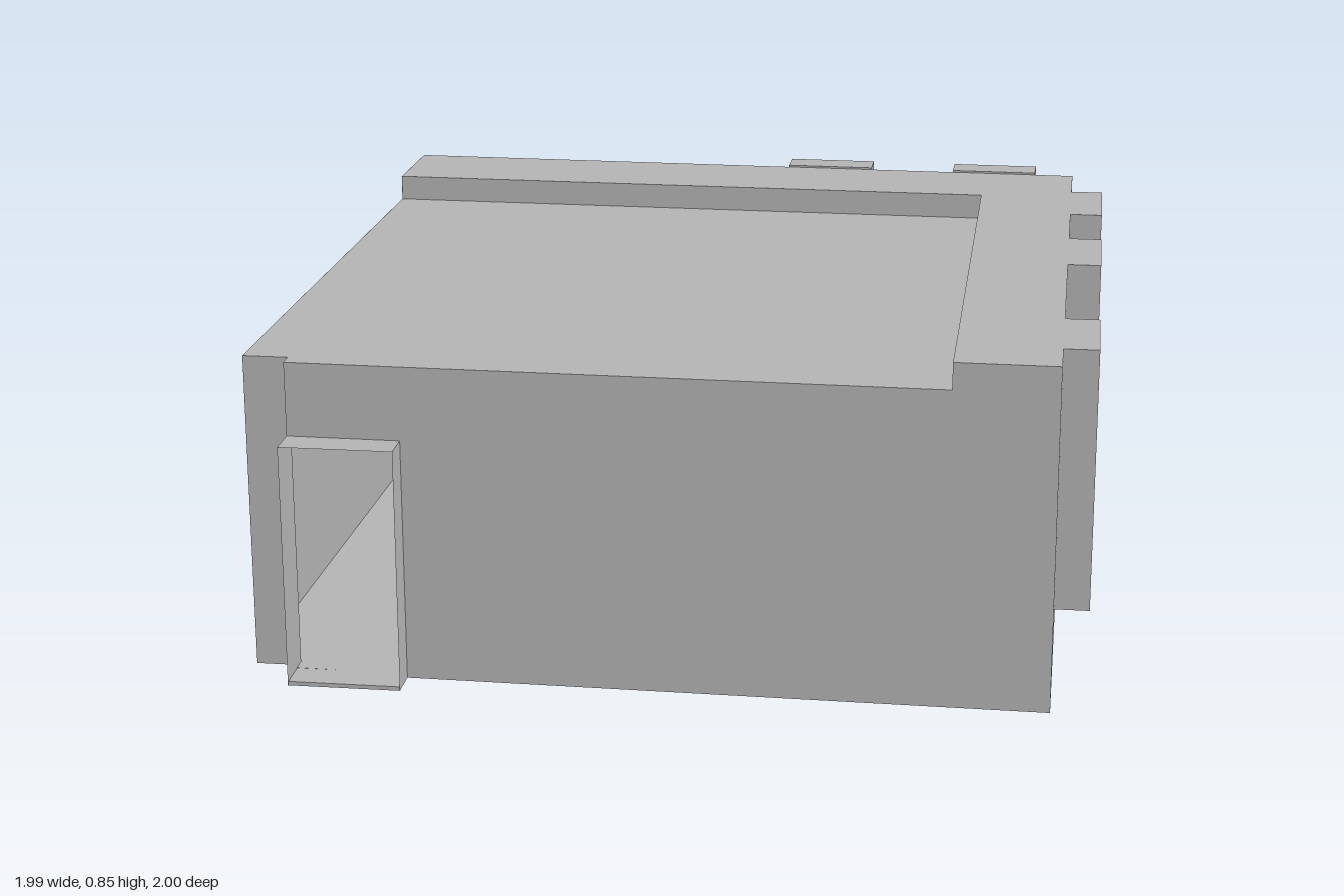
import * as THREE from 'three';

const concrete = new THREE.MeshStandardMaterial({ color: 0xb4b4b4, side: THREE.DoubleSide });
concrete.name = 'plain grey';

const LOW = 0.775, HIGH = 0.84, BASE = 0.01;
const polygon = (pts) => new THREE.Shape(pts.map(([x, y]) => new THREE.Vector2(x, y)));
const rect = (x0, y0, x1, y1) => [[x0, y0], [x1, y0], [x1, y1], [x0, y1]];

function add(parent, name, geometry) {
  const mesh = new THREE.Mesh(geometry, concrete);
  mesh.name = name;
  parent.add(mesh);
  return mesh;
}

// Group standing on the line a-b (x, z): local x runs along it, local z points outward
function wallFrame(parent, name, a, b) {
  const g = new THREE.Group();
  g.name = name;
  g.position.set(a[0], 0, a[1]);
  g.rotation.y = Math.atan2(a[1] - b[1], b[0] - a[0]);
  g.userData.length = Math.hypot(b[0] - a[0], b[1] - a[1]);
  parent.add(g);
  return g;
}

// Flat panel with rectangular openings
function panel(parent, name, outline, holes = []) {
  const shape = polygon(outline);
  holes.forEach((h) => shape.holes.push(polygon(h)));
  return add(parent, name, new THREE.ShapeGeometry(shape));
}

// Horizontal sheet from (x, z) corners
function sheet(parent, name, pts, y) {
  const geo = new THREE.ShapeGeometry(polygon(pts.map(([x, z]) => [x, -z])));
  geo.rotateX(-Math.PI / 2);
  add(parent, name, geo).position.y = y;
}

// Rectangular ring with a border of the given width
function ring(parent, name, [x0, y0, x1, y1], border, z, depth) {
  const shape = polygon(rect(x0, y0, x1, y1));
  shape.holes.push(polygon(rect(x0 + border, y0 + border, x1 - border, y1 - border)));
  const geo = new THREE.ExtrudeGeometry(shape, { depth, bevelEnabled: false });
  add(parent, name, geo).position.z = z;
}

const inset = ([x0, y0, x1, y1], d) => [x0 + d, y0 + d, x1 - d, y1 - d];

// Projecting box window: deep outer surround and a recessed inner frame
function boxWindow(parent, r, depth) {
  const g = new THREE.Group();
  g.name = 'boxWindow';
  parent.add(g);
  ring(g, 'windowSurround', r, 0.015, 0, depth);
  ring(g, 'windowInnerFrame', inset(r, 0.015), 0.02, depth - 0.04, 0.022);
}

function windowWall(parent, name, a, b, windows, depth) {
  const g = wallFrame(parent, name, a, b);
  panel(g, name + 'Panel', rect(0, 0, g.userData.length, HIGH), windows.map((r) => rect(...inset(r, 0.015))));
  windows.forEach((r) => boxWindow(g, r, depth));
}

export function createModel() {
  const model = new THREE.Group();
  model.name = 'room';

  // Plan corners (x, z)
  const frontLeft = [0.905, 0.94], backLeft = [0.905, -0.895];
  const backRight = [-0.955, -0.925], frontRight = [-1, 0.875];
  const notchIn = [-0.89, 0.875], notchOut = [-0.89, 0.915];
  const stepFront = [0.66, 0.937], stepCorner = [0.66, -0.64], stepSide = [-0.961, -0.66];

  // Floor slab
  const plan = [frontRight, notchIn, notchOut, frontLeft, backLeft, backRight];
  const slab = new THREE.ExtrudeGeometry(polygon(plan.map(([x, z]) => [x, -z])), { depth: BASE, bevelEnabled: false });
  slab.rotateX(-Math.PI / 2);
  add(model, 'floorSlab', slab);

  // Two roof levels joined by upright steps
  sheet(model, 'lowRoof', [frontRight, notchIn, notchOut, stepFront, stepCorner, stepSide], LOW);
  sheet(model, 'raisedRoof', [stepFront, frontLeft, backLeft, backRight, stepSide, stepCorner], HIGH);
  [[stepSide, stepCorner], [stepCorner, stepFront]].forEach(([a, b]) => {
    const g = wallFrame(model, 'roofStep', a, b);
    panel(g, 'roofStepFace', rect(0, LOW, g.userData.length, HIGH));
  });

  // Walls with projecting windows
  windowWall(model, 'leftWall', frontLeft, backLeft,
    [[0.14, 0.203, 0.39, HIGH], [0.88, 0.203, 1.14, HIGH], [1.395, 0.203, 1.65, HIGH]], 0.083);
  windowWall(model, 'backWall', backLeft, backRight,
    [[0.105, 0.203, 0.335, 0.845], [0.565, 0.203, 0.8, 0.845], [1.035, 0.33, 1.745, 0.592]], 0.08);

  // Plain side wall, stepping up at the back
  const side = wallFrame(model, 'rightWall', backRight, frontRight);
  const sl = side.userData.length;
  panel(side, 'rightWallPanel', [[0, 0], [sl, 0], [sl, LOW], [0.265, LOW], [0.265, HIGH], [0, HIGH]]);

  // Corner notch beside the entrance
  [[frontRight, notchIn], [notchIn, notchOut]].forEach(([a, b]) => {
    const g = wallFrame(model, 'cornerNotch', a, b);
    panel(g, 'cornerNotchPanel', rect(0, 0, g.userData.length, LOW));
  });

  // Front wall with the doorway cut out
  const front = wallFrame(model, 'frontWall', notchOut, frontLeft);
  const fl = front.userData.length;
  panel(front, 'frontWallPanel', [[0, BASE], [0, 0.595], [0.27, 0.595], [0.27, 0], [fl, 0],
    [fl, HIGH], [1.55, HIGH], [1.55, LOW], [0, LOW]].slice(1));

  // Open entrance porch: thin sides, top and sill
  const porch = new THREE.Group();
  porch.name = 'entrancePorch';
  model.add(porch);
  [-0.89, -0.62].forEach((x) => {
    const g = wallFrame(porch, 'porchSide', [x, 1], [x, 0.915]);
    panel(g, 'porchSidePanel', rect(0, 0, 0.085, 0.595));
  });
  const porchPlan = [[-0.89, 0.915], [-0.89, 1], [-0.62, 1], [-0.62, 0.918]];
  sheet(porch, 'porchTop', porchPlan, 0.595);
  const sill = new THREE.BoxGeometry(0.268, BASE, 0.083);
  add(porch, 'porchSill', sill).position.set(-0.755, BASE / 2, 0.958);

  return model;
}
